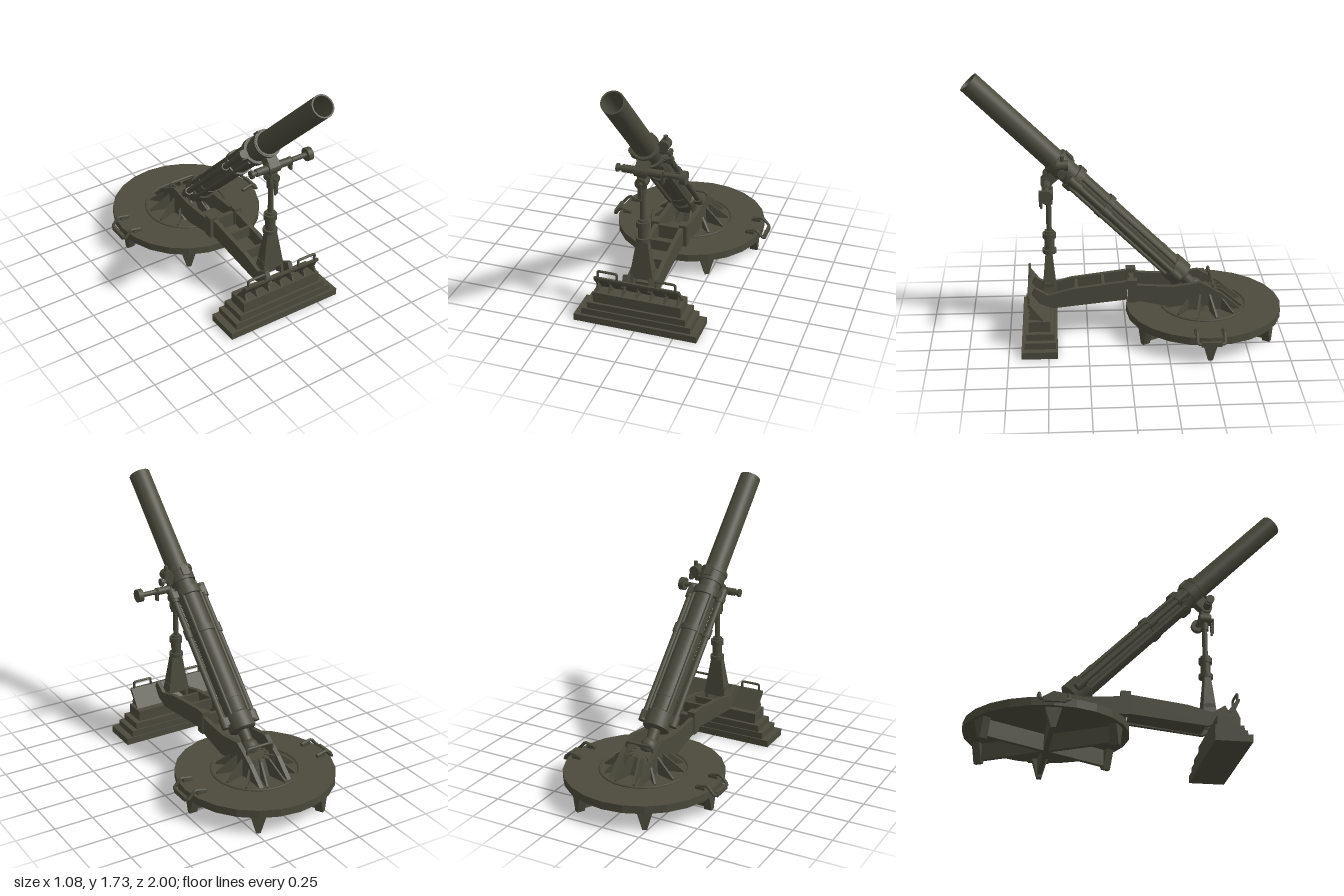
import * as THREE from 'three';
import { toCreasedNormals } from 'three/addons/utils/BufferGeometryUtils.js';

const V = (x, y, z) => new THREE.Vector3(x, y, z);

export function createModel() {
  const model = new THREE.Group();
  model.name = 'mortar';
  const olive = new THREE.MeshStandardMaterial({ color: 0x4b4a3c, side: THREE.DoubleSide });
  olive.name = 'olive paint';

  function add(parent, name, geo, x = 0, y = 0, z = 0) {
    const m = new THREE.Mesh(geo, olive);
    m.name = name;
    m.position.set(x, y, z);
    parent.add(m);
    return m;
  }
  function group(name, parent = model) {
    const g = new THREE.Group();
    g.name = name;
    parent.add(g);
    return g;
  }
  const box = (p, name, w, h, d, x, y, z) => add(p, name, new THREE.BoxGeometry(w, h, d), x, y, z);
  // Cylinder between two points
  function rod(p, name, a, b, r0, r1 = r0, sides = 20) {
    const d = b.clone().sub(a);
    const m = add(p, name, new THREE.CylinderGeometry(r1, r0, d.length(), sides));
    m.position.copy(a).addScaledVector(d, 0.5);
    m.quaternion.setFromUnitVectors(V(0, 1, 0), d.normalize());
    return m;
  }
  // Flat plate with a z,y outline, spanning x0..x1
  function sidePlate(p, name, pts, x0, x1) {
    const shape = new THREE.Shape(pts.map(([z, y]) => new THREE.Vector2(z, y)));
    const geo = new THREE.ExtrudeGeometry(shape, { depth: x1 - x0, bevelEnabled: false });
    geo.rotateY(-Math.PI / 2).translate(x1, 0, 0);
    return add(p, name, geo);
  }
  // Bent round bar through points with tight corners
  function handle(p, name, pts, r = 0.009) {
    const path = new THREE.CurvePath();
    for (let i = 0; i < pts.length - 1; i++) {
      const a = pts[i], b = pts[i + 1];
      const s = i ? a.clone().lerp(b, 0.15) : a;
      const last = i === pts.length - 2;
      const e = last ? b : a.clone().lerp(b, 0.85);
      path.add(new THREE.LineCurve3(s, e));
      if (!last) path.add(new THREE.QuadraticBezierCurve3(e, b, b.clone().lerp(pts[i + 2], 0.15)));
    }
    return add(p, name, new THREE.TubeGeometry(path, 40, r, 8));
  }

  // ---- Round base plate ----
  const base = group('basePlate');
  base.position.z = -0.5;
  add(base, 'plateDisc', toCreasedNormals(new THREE.CylinderGeometry(0.5, 0.5, 0.05, 24), 0.1), 0, 0.145, 0);
  const ring = add(base, 'plateRing', new THREE.TorusGeometry(0.272, 0.009, 6, 32), 0, 0.172, 0);
  ring.rotation.x = Math.PI / 2;
  // Six spokes underneath, each ending in a tapered ground spike
  for (let i = 0; i < 6; i++) {
    const arm = group('spoke', base);
    arm.rotation.y = i * Math.PI / 3;
    box(arm, 'spokeRib', 0.44, 0.105, 0.03, 0.22, 0.07, 0);
    const geo = new THREE.BoxGeometry(0.05, 0.125, 0.1);
    const p = geo.attributes.position;
    for (let k = 0; k < p.count; k++) {
      if (p.getY(k) < 0) p.setZ(k, p.getZ(k) * 0.28);
    }
    geo.computeVertexNormals();
    add(arm, 'groundSpike', geo, 0.448, 0.0625, 0);
  }
  for (const s of [-1, 1]) {
    for (const z of [-0.085, 0.085]) box(base, 'handleLug', 0.06, 0.025, 0.025, s * 0.435, 0.175, z);
    handle(base, 'carryHandle', [V(s * 0.41, 0.185, -0.085), V(s * 0.48, 0.2, -0.085), V(s * 0.53, 0.145, -0.085),
      V(s * 0.53, 0.145, 0.085), V(s * 0.48, 0.2, 0.085), V(s * 0.41, 0.185, 0.085)], 0.01);
    box(base, 'handleGrip', 0.02, 0.03, 0.13, s * 0.53, 0.145, 0);
  }

  // ---- Hub with radial ribs ----
  const hub = group('hub', base);
  add(hub, 'hubBody', new THREE.CylinderGeometry(0.085, 0.13, 0.11, 20), 0, 0.22, 0);
  for (let i = 0; i < 12; i++) {
    const rib = sidePlate(hub, 'hubRib', [[0.06, 0.165], [0.25, 0.165], [0.25, 0.18], [0.12, 0.28], [0.06, 0.28]], -0.006, 0.006);
    rib.rotation.y = (i + 0.5) * Math.PI / 6;
  }
  handle(hub, 'lockingHandle', [V(-0.09, 0.26, -0.05), V(-0.09, 0.35, -0.05), V(0.09, 0.35, -0.05), V(0.09, 0.26, -0.05)], 0.009);

  // ---- Trail joining base and front foot ----
  const trail = group('trail');
  const rearOutline = [[-0.03, 0.25], [-0.03, 0.36], [-0.13, 0.35], [-0.3, 0.34], [-0.47, 0.365],
    [-0.53, 0.33], [-0.61, 0.28], [-0.73, 0.175], [-0.34, 0.175], [-0.42, 0.22], [-0.28, 0.2], [-0.1, 0.24]];
  const frontOutline = [[0, 0.25], [0, 0.375], [0.35, 0.33], [0.5, 0.29], [0.58, 0.34], [0.62, 0.27], [0.57, 0.24], [0.47, 0.2]];
  for (const s of [-1, 1]) {
    sidePlate(trail, 'rearCheek', rearOutline, s * 0.1 - 0.014, s * 0.1 + 0.014);
    sidePlate(trail, 'trailBeam', frontOutline, s * 0.085 - 0.014, s * 0.085 + 0.014);
    box(trail, 'beamCollar', 0.05, 0.15, 0.06, s * 0.095, 0.315, -0.035);
  }
  sidePlate(trail, 'trailFloor', [[0, 0.26], [0, 0.28], [0.46, 0.225], [0.46, 0.205]], -0.08, 0.08);
  sidePlate(trail, 'rearFloor', [[-0.03, 0.255], [-0.03, 0.275], [-0.28, 0.24], [-0.28, 0.215]], -0.09, 0.09);
  box(trail, 'crossPlate', 0.16, 0.1, 0.03, 0, 0.31, -0.035);
  for (const z of [0.15, 0.32]) box(trail, 'crossBar', 0.16, 0.07, 0.02, 0, 0.345 - z * 0.17, z);

  // ---- Stepped front foot ----
  const foot = group('frontFoot');
  [[0.4, 0, 0.045, 0.445, 0.67], [0.355, 0.045, 0.087, 0.455, 0.652], [0.32, 0.087, 0.13, 0.465, 0.641],
    [0.285, 0.13, 0.2, 0.487, 0.625]].forEach(([w, y0, y1, z0, z1]) =>
    box(foot, 'footStep', w * 2, y1 - y0, z1 - z0, 0, (y0 + y1) / 2, (z0 + z1) / 2));
  // Tilted blade with gussets and two grab handles
  sidePlate(foot, 'blade', [[0.53, 0.2], [0.545, 0.2], [0.63, 0.3], [0.63, 0.315], [0.615, 0.315]], -0.275, 0.275);
  for (const x of [-0.26, -0.18, -0.09, 0, 0.09, 0.18, 0.26]) {
    sidePlate(foot, 'bladeGusset', [[0.54, 0.2], [0.625, 0.21], [0.605, 0.25], [0.63, 0.305]], x - 0.006, x + 0.006);
  }
  for (const s of [-1, 1]) {
    handle(foot, 'grabHandle', [V(s * 0.125, 0.3, 0.62), V(s * 0.125, 0.358, 0.62), V(s * 0.25, 0.358, 0.62), V(s * 0.25, 0.3, 0.62)], 0.008);
  }

  // ---- Elevating column ----
  const column = group('elevatingColumn');
  const stand = new THREE.CylinderGeometry(0.035, 0.08, 0.27, 4, 1).rotateY(Math.PI / 4);
  stand.scale(1.35, 1, 0.75);
  add(column, 'columnStand', stand.toNonIndexed(), 0, 0.43, 0.49).geometry.computeVertexNormals();
  for (const s of [-1, 1]) {
    sidePlate(column, 'standCheek', [[0.45, 0.24], [0.55, 0.24], [0.52, 0.36], [0.46, 0.36]], s * 0.06 - 0.01, s * 0.06 + 0.01);
  }
  [[0.55, 0.575, 0.045], [0.575, 0.655, 0.032], [0.65, 0.685, 0.042], [0.685, 0.7, 0.03], [0.7, 0.91, 0.017], [0.88, 0.94, 0.026]]
    .forEach(([y0, y1, r]) => rod(column, 'columnSection', V(0, y0, 0.485), V(0, y1, 0.485), r));
  rod(column, 'yoke', V(0, 0.955, 0.455), V(0, 0.955, 0.525), 0.037);
  box(column, 'yokeNeck', 0.05, 0.08, 0.05, 0, 1.0, 0.49);
  rod(column, 'crankShaft', V(0, 0.955, 0.52), V(0, 0.955, 0.54), 0.014);
  box(column, 'crankArm', 0.02, 0.1, 0.01, 0, 0.915, 0.54);
  rod(column, 'crankGrip', V(0, 0.93, 0.53), V(0, 0.85, 0.53), 0.008);

  // ---- Traversing screw across the column ----
  const traverse = group('traverse');
  rod(traverse, 'traverseScrew', V(-0.155, 1.03, 0.495), V(0.25, 1.03, 0.495), 0.016);
  rod(traverse, 'traverseSleeve', V(-0.12, 1.03, 0.495), V(0.13, 1.03, 0.495), 0.024);
  rod(traverse, 'traverseNut', V(-0.04, 1.03, 0.495), V(0.04, 1.03, 0.495), 0.036);
  rod(traverse, 'traverseKnob', V(0.243, 1.03, 0.495), V(0.278, 1.03, 0.495), 0.042);
  rod(traverse, 'endCap', V(-0.158, 1.03, 0.495), V(-0.143, 1.03, 0.495), 0.026);
  box(traverse, 'traverseStop', 0.014, 0.08, 0.03, 0.132, 1.01, 0.495);

  // ---- Barrel assembly; local y runs along the bore ----
  const gun = group('barrelAssembly');
  gun.position.y = 0.73;
  gun.rotation.x = Math.PI / 4;
  const profile = [[0, -0.51], [0.07, -0.51], [0.085, -0.5], [0.085, -0.4], [0.072, -0.39], [0.069, 1.343],
    [0.06, 1.343], [0.06, 0.4], [0, 0.4]].map(([r, y]) => new THREE.Vector2(r, y));
  add(gun, 'barrel', toCreasedNormals(new THREE.LatheGeometry(profile, 32), 0.6));
  const along = (name, y0, y1, r, x = 0, z = 0, sides = 24) => rod(gun, name, V(x, y0, z), V(x, y1, z), r, r, sides);
  along('breechNeck', -0.6, -0.5, 0.036);
  add(gun, 'breechBall', new THREE.SphereGeometry(0.055, 20, 14), 0, -0.62, 0);
  along('lowerBand', -0.3, -0.27, 0.075);
  along('middleBand', 0.165, 0.205, 0.082);
  along('upperBand', 0.43, 0.475, 0.088);
  along('clampBand', 0.53, 0.63, 0.081);
  along('clampRim', 0.6, 0.625, 0.087);
  box(gun, 'clampBracket', 0.07, 0.07, 0.1, 0, 0.565, 0.1);
  box(gun, 'clampTop', 0.05, 0.06, 0.02, 0, 0.58, -0.08);
  // Recoil cylinders along both sides
  for (const s of [-1, 1]) {
    const x = s * 0.108;
    along('recoilCylinder', -0.46, 0.47, 0.018, x, 0, 16);
    along('guideRod', -0.4, 0.45, 0.012, s * 0.068, 0.05, 12);
    along('guideRod', -0.4, 0.45, 0.012, s * 0.062, -0.045, 12);
    along('lowerCap', -0.47, -0.4, 0.026, x, 0, 16);
    along('middleClip', 0.155, 0.215, 0.025, x, 0, 16);
    along('upperCap', 0.41, 0.5, 0.028, x, 0, 16);
    box(gun, 'lowerLug', 0.05, 0.05, 0.05, s * 0.085, -0.43, 0);
    box(gun, 'upperLug', 0.06, 0.045, 0.06, s * 0.09, 0.452, 0);
  }

  // ---- Aiming sight on the left of the barrel ----
  const sight = group('sight');
  box(sight, 'sightArm', 0.06, 0.035, 0.035, 0.08, 1.13, 0.39);
  rod(sight, 'sightDrum', V(0.11, 1.175, 0.36), V(0.11, 1.175, 0.43), 0.034);
  rod(sight, 'sightTop', V(0.115, 1.2, 0.395), V(0.115, 1.235, 0.395), 0.013);
  rod(sight, 'sightKnob', V(0.14, 1.13, 0.4), V(0.155, 1.13, 0.4), 0.026);
  rod(sight, 'sightSpindle', V(0.08, 1.13, 0.4), V(0.15, 1.13, 0.4), 0.012);

  return model;
}
